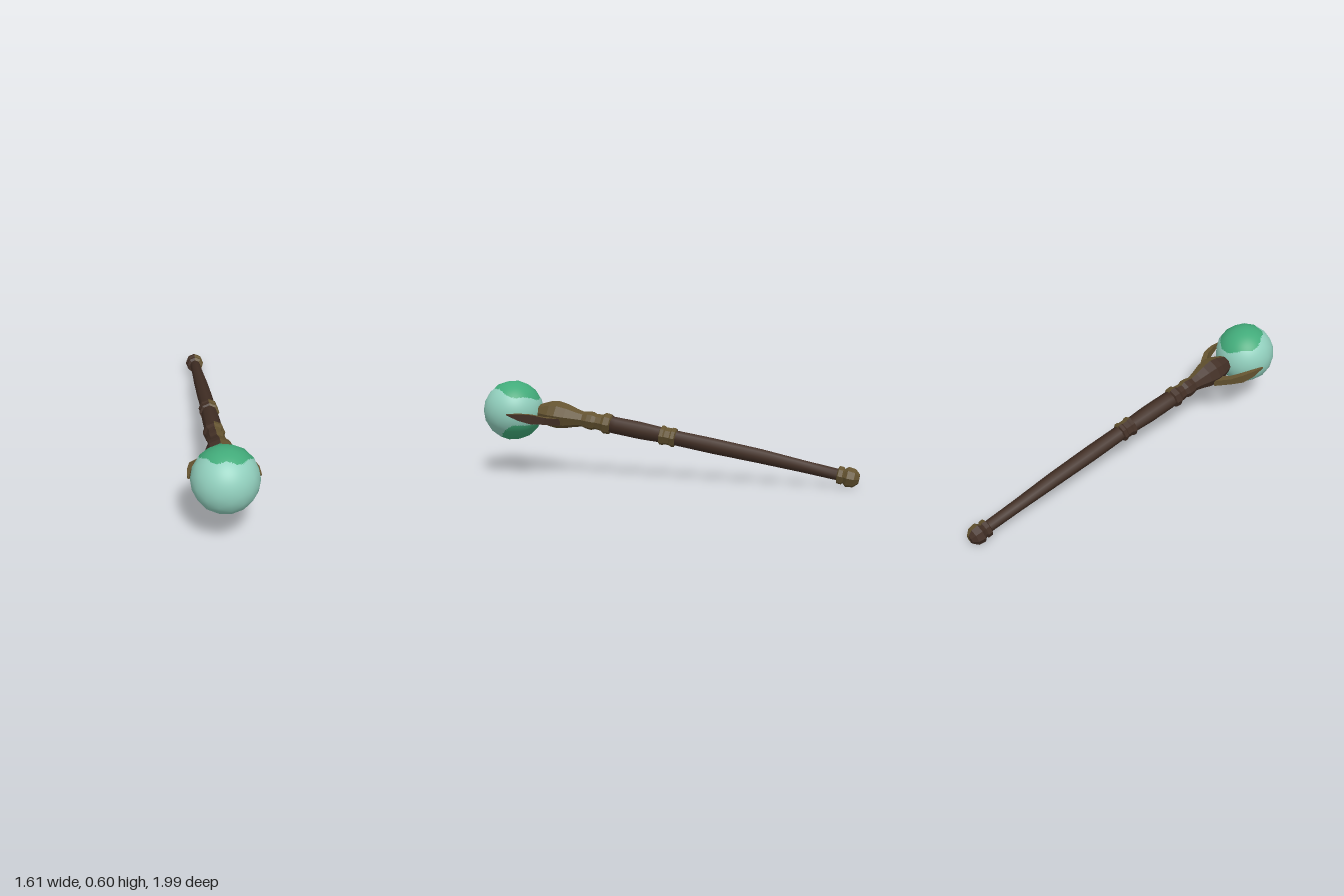
import * as THREE from 'three';
import { mergeVertices } from 'three/addons/utils/BufferGeometryUtils.js';

const V = (x, y, z) => new THREE.Vector3(x, y, z);
const paint = (name, color) => Object.assign(new THREE.MeshStandardMaterial({ color }), { name });

// Staff frame: along the shaft, sideways (level), and upwards
const ALONG = V(0.6, 0.18, 0.77).normalize();
const SIDE = V(0.79, 0, -0.61).normalize();
const UP = ALONG.clone().cross(SIDE).normalize();
const ORB = V(0.607, 0.42, 0.803);
const ORB_R = 0.196;

// Gently bent centre line, looked up by z
const LINE = [V(-0.783, 0.06, -0.98), V(-0.745, 0.07, -0.93), V(-0.4, 0.18, -0.49),
  V(-0.03, 0.285, -0.02), V(0.22, 0.353, 0.31), V(0.42, 0.4, 0.56), V(0.51, 0.415, 0.68)];
function centre(z) {
  let i = 0;
  while (i < LINE.length - 2 && z > LINE[i + 1].z) i++;
  return LINE[i].clone().lerp(LINE[i + 1], (z - LINE[i].z) / (LINE[i + 1].z - LINE[i].z));
}

// Skin over a list of closed rings, with a material number for each side
function loft(name, rings, mats, matOf, smooth) {
  const lists = mats.map(() => []);
  const n = rings[0].length;
  const tri = (m, ...p) => p.forEach(v => lists[m].push(v.x, v.y, v.z));
  const middle = ring => ring.reduce((s, v) => s.add(v), V(0, 0, 0)).divideScalar(n);
  const last = rings[rings.length - 1];
  const start = middle(rings[0]), end = middle(last);
  for (let j = 0; j < n; j++) {
    const k = (j + 1) % n, m = matOf(j);
    for (let i = 0; i < rings.length - 1; i++) {
      const a = rings[i], b = rings[i + 1];
      tri(m, a[j], a[k], b[k]);
      tri(m, a[j], b[k], b[j]);
    }
    tri(m, start, rings[0][k], rings[0][j]);
    tri(m, end, last[j], last[k]);
  }
  let geo = new THREE.BufferGeometry();
  geo.setAttribute('position', new THREE.Float32BufferAttribute(lists.flat(), 3));
  let from = 0;
  lists.forEach((l, m) => { geo.addGroup(from, l.length / 3, m); from += l.length / 3; });
  if (smooth) geo = mergeVertices(geo);
  geo.computeVertexNormals();
  const mesh = new THREE.Mesh(geo, mats);
  mesh.name = name;
  return mesh;
}

// Eight-sided turned part from [z, radius] pairs
function turned(name, profile, mats, smooth = false) {
  const rings = profile.map(([z, r]) => Array.from({ length: 8 }, (_, j) => {
    const t = j * Math.PI / 4;
    return centre(z).addScaledVector(SIDE, r * Math.cos(t)).addScaledVector(UP, r * Math.sin(t));
  }));
  // the second colour covers the half facing sideways
  return loft(name, rings, mats, j => (mats.length > 1 && (j < 2 || j > 5) ? 1 : 0), smooth);
}

// Tapered flat prong hugging the orb: [along, sideways, half height, half thickness]
const PRONG = [[-0.34, 0.05, 0.022, 0.02], [-0.26, 0.128, 0.022, 0.015], [-0.19, 0.172, 0.03, 0.013],
  [-0.11, 0.194, 0.022, 0.01], [-0.03, 0.203, 0.003, 0.004]];
function prong(name, side, mats) {
  const rings = PRONG.map(([a, s, h, w]) => {
    const ring = [[w, -h], [w, h], [-w, h], [-w, -h]].map(([ds, du]) =>
      ORB.clone().addScaledVector(ALONG, a - ds * 0.6).addScaledVector(SIDE, side * (s + ds))
        .addScaledVector(UP, du));
    return side > 0 ? ring : ring.reverse();
  });
  return loft(name, rings, mats, j => (side > 0 && j === 0 ? 0 : 1), false);
}

// Faceted ball, each facet cut finely so that the painted caps get clean borders
function orb(mats) {
  const p = new THREE.IcosahedronGeometry(1, 2).attributes.position;
  const caps = [[V(-0.12, 0.95, -0.25).normalize(), 0.85], [V(0.02, -0.87, -0.46).normalize(), 0.68]];
  const lists = [[], []];
  const N = 7;
  const inCap = d => caps.some(([c, half]) =>
    d.angleTo(c) < half + 0.05 * Math.sin(Math.atan2(d.z, d.x) * 5));
  for (let f = 0; f < p.count; f += 3) {
    const [a, b, c] = [0, 1, 2].map(i => V(0, 0, 0).fromBufferAttribute(p, f + i));
    const at = (i, j) => a.clone().addScaledVector(b.clone().sub(a), i / N)
      .addScaledVector(c.clone().sub(a), j / N);
    const add = (...t) => {
      const mid = t[0].clone().add(t[1]).add(t[2]).normalize();
      lists[inCap(mid) ? 1 : 0].push(...t);
    };
    for (let i = 0; i < N; i++) for (let j = 0; j < N - i; j++) {
      add(at(i, j), at(i + 1, j), at(i, j + 1));
      if (i + j < N - 1) add(at(i + 1, j), at(i + 1, j + 1), at(i, j + 1));
    }
  }
  const all = lists.flat();
  const geo = new THREE.BufferGeometry().setFromPoints(all);
  const normals = all.flatMap(v => v.clone().normalize().toArray());
  geo.setAttribute('normal', new THREE.Float32BufferAttribute(normals, 3));
  geo.addGroup(0, lists[0].length, 0);
  geo.addGroup(lists[0].length, lists[1].length, 1);
  const mesh = new THREE.Mesh(geo, mats);
  mesh.name = 'orb';
  mesh.scale.setScalar(ORB_R);
  mesh.position.copy(ORB);
  return mesh;
}

export function createModel() {
  const wood = paint('dark wood', 0x422f25);
  const brass = paint('aged brass', 0x645330);
  const pale = paint('pale jade', 0x92d0be);
  const green = paint('deep jade', 0x42ab7a);
  const trim = [wood, brass];

  const group = new THREE.Group();
  group.name = 'orbStaff';
  group.add(
    turned('shaft', [[-0.9, 0.036], [-0.7, 0.039], [-0.49, 0.046], [-0.25, 0.05], [-0.02, 0.048],
      [0.12, 0.056], [0.25, 0.055], [0.33, 0.052]], [wood], true),
    turned('buttCap', [[-0.973, 0.03], [-0.95, 0.058], [-0.915, 0.064], [-0.9, 0.046],
      [-0.893, 0.056], [-0.872, 0.056], [-0.866, 0.036]], trim),
    turned('middleBand', [[-0.066, 0.05], [-0.062, 0.062], [-0.045, 0.062], [-0.038, 0.056],
      [-0.012, 0.056], [-0.005, 0.063], [0.012, 0.063], [0.016, 0.05]], trim),
    turned('head', [[0.275, 0.053], [0.28, 0.066], [0.31, 0.068], [0.325, 0.055], [0.355, 0.05],
      [0.375, 0.06], [0.4, 0.058], [0.425, 0.05], [0.46, 0.06], [0.51, 0.08], [0.56, 0.09],
      [0.6, 0.084], [0.65, 0.06], [0.68, 0.04]], trim),
    prong('leftProng', 1, trim),
    prong('rightProng', -1, trim),
    orb([pale, green]),
  );
  return group;
}
